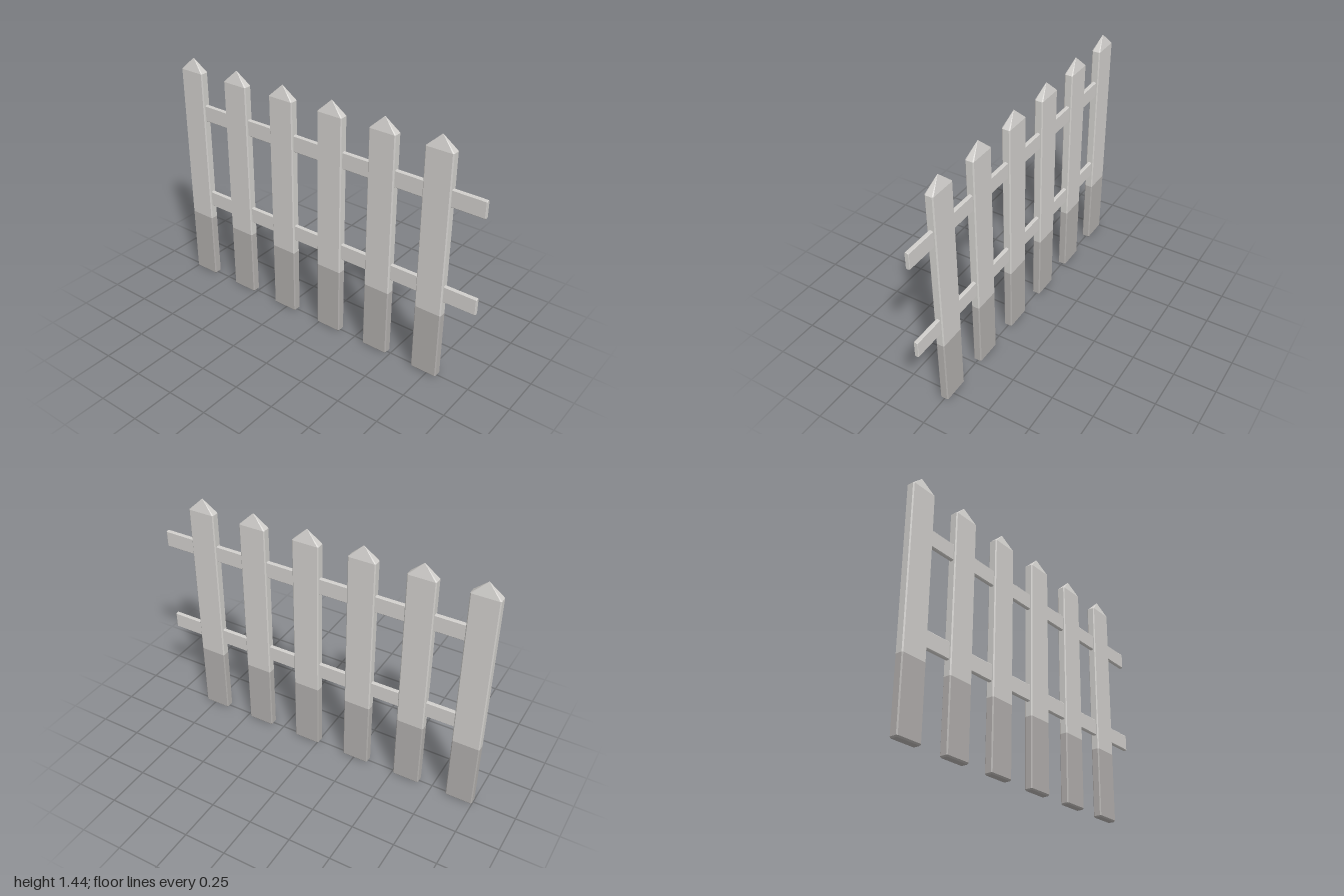
import * as THREE from 'three';

// Chamfered rectangle ring at height y (half sizes hx, hz, corner cut c)
function ring(y, hx, hz, c) {
  return [
    [hx, -hz + c], [hx, hz - c], [hx - c, hz], [-hx + c, hz],
    [-hx, hz - c], [-hx, -hz + c], [-hx + c, -hz], [hx - c, -hz],
  ].map(([x, z]) => new THREE.Vector3(x, y, z));
}

// Skins a stack of rings with crisp faces; ends may be closed
function loft(rings, capBottom, capTop) {
  const pts = [];
  const n = rings[0].length;
  for (let r = 0; r < rings.length - 1; r++) {
    for (let i = 0; i < n; i++) {
      const j = (i + 1) % n;
      const a = rings[r][i], b = rings[r][j];
      const c = rings[r + 1][j], d = rings[r + 1][i];
      pts.push(a, d, b, b, d, c);
    }
  }
  const first = rings[0], last = rings[rings.length - 1];
  for (let i = 1; i < n - 1; i++) {
    if (capBottom) pts.push(first[0], first[i], first[i + 1]);
    if (capTop) pts.push(last[0], last[i + 1], last[i]);
  }
  const geo = new THREE.BufferGeometry().setFromPoints(pts);
  geo.computeVertexNormals();
  return geo;
}

export function createModel() {
  const paint = new THREE.MeshStandardMaterial({ color: 0xd0cecb });
  paint.name = 'pale paint';
  const base = new THREE.MeshStandardMaterial({ color: 0xb0adab });
  base.name = 'weathered base';

  const fence = new THREE.Group();
  fence.name = 'picketFence';
  const add = (parent, name, geo, mat) => {
    const mesh = new THREE.Mesh(geo, mat);
    mesh.name = name;
    parent.add(mesh);
    return mesh;
  };

  // Picket: darker foot, pale board and pyramid point
  const hx = 0.025, hz = 0.08, cut = 0.006, split = 0.415, shoulder = 1.365;
  const footGeo = loft([
    ring(0, hx - 0.006, hz - 0.006, 0.004),
    ring(0.008, hx, hz, cut),
    ring(split, hx, hz, cut),
  ], true, false);
  const boardGeo = loft([
    ring(split, hx, hz, cut),
    ring(shoulder, hx, hz, cut),
  ], false, false);
  const pointGeo = loft([
    ring(shoulder, hx, hz, cut),
    ring(1.44, 0.0008, 0.002, 0.0004),
  ], false, true);

  for (let i = 0; i < 6; i++) {
    const picket = new THREE.Group();
    picket.name = `picket${i + 1}`;
    picket.position.z = 0.73 - i * 0.33;
    add(picket, 'picketFoot', footGeo, base);
    add(picket, 'picketBoard', boardGeo, paint);
    add(picket, 'picketPoint', pointGeo, paint);
    fence.add(picket);
  }

  // Rails run lengthwise through the pickets and stick out at the front
  const railGeo = loft([
    ring(-0.92, 0.012, 0.05, 0.005),
    ring(0.997, 0.012, 0.05, 0.005),
    ring(1, 0.01, 0.048, 0.004),
  ], true, true).rotateX(Math.PI / 2);
  add(fence, 'lowerRail', railGeo, paint).position.y = 0.55;
  add(fence, 'upperRail', railGeo, paint).position.y = 1.12;

  return fence;
}
